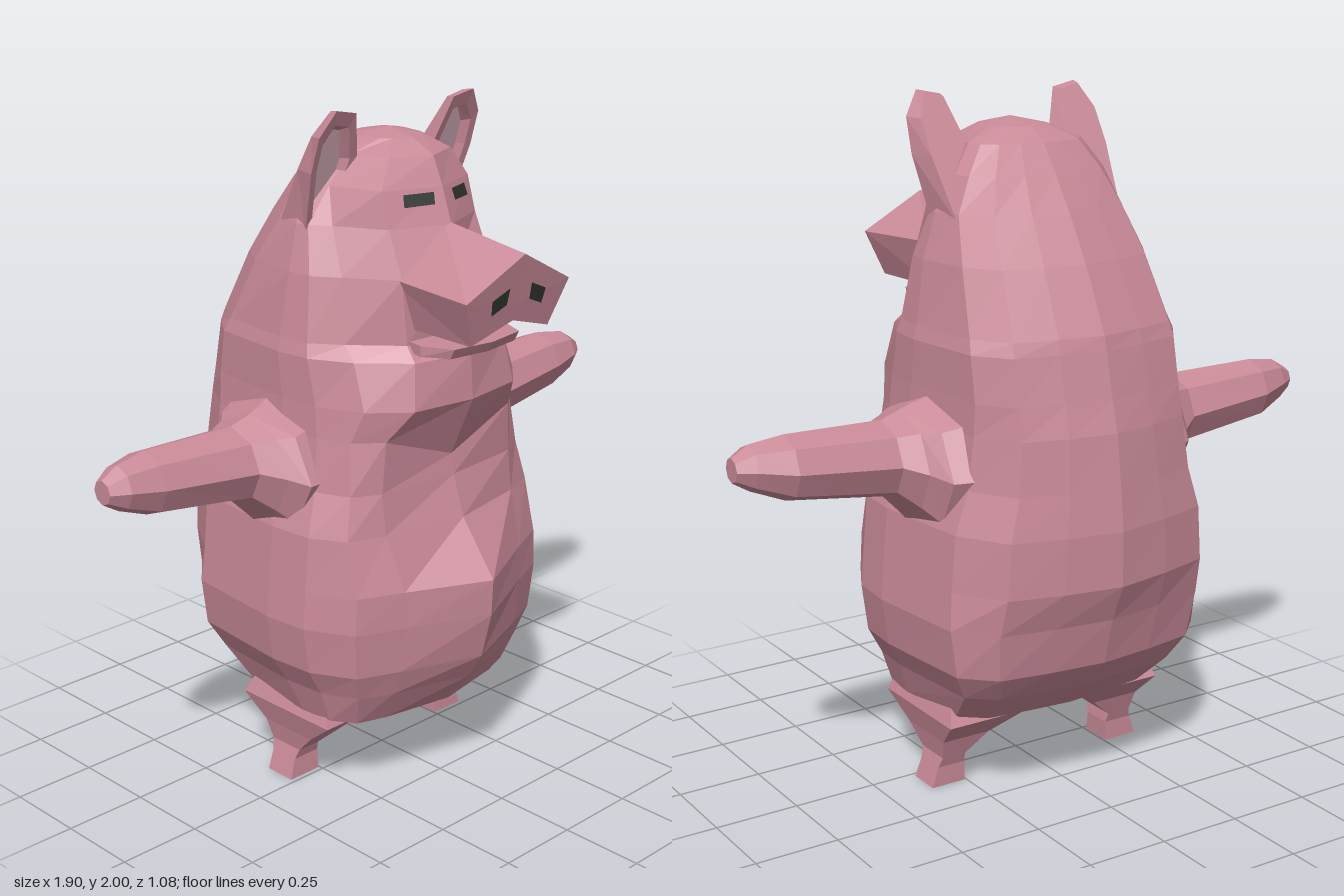
import * as THREE from 'three';

const skin = new THREE.MeshStandardMaterial({ color: 0xc98a98, flatShading: true });
const innerSkin = new THREE.MeshStandardMaterial({ color: 0xd8b0bc, flatShading: true });
const dark = new THREE.MeshStandardMaterial({ color: 0x30352f, side: THREE.DoubleSide });

const V = (x, y, z) => new THREE.Vector3(x, y, z);
const lerp = THREE.MathUtils.lerp;

// Skin closed rings (counter-clockwise seen from the last ring) and cap both ends.
function loft(name, rings, { side = 1, material = skin, tip = null } = {}) {
  if (side < 0) rings = rings.map(r => r.map(p => V(-p.x, p.y, p.z)).reverse());
  const pos = [];
  const tri = (...pts) => pts.forEach(p => pos.push(p.x, p.y, p.z));
  const centre = r => r.reduce((s, p) => s.add(p), V(0, 0, 0)).divideScalar(r.length);
  const n = rings[0].length, last = rings[rings.length - 1];
  const c0 = centre(rings[0]), c1 = tip || centre(last);
  for (let j = 0; j < n; j++) {
    const k = (j + 1) % n;
    tri(c0, rings[0][k], rings[0][j]);
    for (let i = 0; i < rings.length - 1; i++) {
      const [a, b, c, d] = [rings[i][j], rings[i][k], rings[i + 1][k], rings[i + 1][j]];
      tri(a, b, c);
      tri(a, c, d);
    }
    tri(c1, last[j], last[k]);
  }
  const geo = new THREE.BufferGeometry();
  geo.setAttribute('position', new THREE.Float32BufferAttribute(pos, 3));
  geo.computeVertexNormals();
  const mesh = new THREE.Mesh(geo, material);
  mesh.name = name;
  return mesh;
}

// Complete a half outline running from the front centre to the back centre.
const mirrorRing = half =>
  [...half, ...half.slice(1, -1).reverse().map(p => V(-p.x, p.y, p.z))];

// Body and head: height, half width, front z, back z, front corner x and z,
// side z's, cheek hollow, drop of the front centre
function bodyRing([y, w, zf, zb, cx, cz, s1, s2, hollow = 0.3, drop = 0]) {
  return mirrorRing([
    V(0, y - drop, zf), V(cx, y, cz),
    V(lerp(cx, w, 0.62), y, lerp(cz, s1, hollow)),
    V(w * 0.975, y, s1), V(w, y, lerp(s1, s2, 0.3)), V(w * 0.93, y, s2),
    V(w * 0.73, y, lerp(s2, zb, 0.66)),
    V(w * 0.38, y, lerp(s2, zb, 0.86)), V(0, y, zb),
  ]);
}

function body() {
  const rows = [
    [0.222, 0.24, 0.20, -0.12, 0.12, 0.18, 0.12, -0.10],
    [0.25, 0.36, 0.28, -0.29, 0.22, 0.24, 0.14, -0.20],
    [0.35, 0.395, 0.36, -0.40, 0.24, 0.29, 0.14, -0.30],
    [0.43, 0.44, 0.41, -0.46, 0.24, 0.32, 0.14, -0.33],
    [0.57, 0.46, 0.445, -0.495, 0.24, 0.335, 0.14, -0.33],
    [0.68, 0.45, 0.45, -0.54, 0.24, 0.335, 0.14, -0.32],
    [0.84, 0.435, 0.33, -0.54, 0.26, 0.28, 0.14, -0.32],
    [0.96, 0.39, 0.29, -0.525, 0.26, 0.265, 0.12, -0.32],
    [1.11, 0.37, 0.28, -0.505, 0.25, 0.27, 0.11, -0.32, 0.4, 0.09],
    [1.20, 0.365, 0.36, -0.48, 0.20, 0.33, 0.10, -0.32, 0.4],
    [1.33, 0.365, 0.35, -0.45, 0.18, 0.31, 0.07, -0.30, 0.5],
    [1.37, 0.355, 0.28, -0.44, 0.17, 0.27, 0.06, -0.28, 0.6],
    [1.55, 0.325, 0.28, -0.35, 0.175, 0.255, 0.04, -0.20, 0.65],
    [1.68, 0.29, 0.27, -0.27, 0.17, 0.20, 0.00, -0.13, 0.72],
    [1.78, 0.24, 0.235, -0.20, 0.17, 0.17, -0.04, -0.11, 0.75],
    [1.86, 0.18, 0.20, -0.14, 0.12, 0.15, -0.02, -0.08, 0.7],
    [1.90, 0.09, 0.12, -0.08, 0.06, 0.10, 0.01, -0.04],
  ];
  return loft('bodyAndHead', rows.map(bodyRing), { tip: V(0, 1.92, 0.03) });
}

// Arm with its broad shoulder: x, y range, z range
function arm(side) {
  const rows = [
    [0.30, 0.78, 1.20, -0.36, 0.14],
    [0.40, 0.80, 1.165, -0.31, 0.13],
    [0.44, 0.85, 1.15, -0.25, 0.08],
    [0.50, 0.91, 1.13, -0.21, 0.03],
    [0.80, 0.95, 1.135, -0.19, 0.00],
    [0.90, 0.99, 1.12, -0.15, -0.02],
    [0.95, 1.02, 1.09, -0.12, -0.05],
  ];
  const rings = rows.map(([x, y0, y1, z0, z1]) => Array.from({ length: 8 }, (_, i) => {
    const t = i * Math.PI / 4;
    return V(x, (y0 + y1) / 2 + (y1 - y0) / 2 * Math.cos(t),
      (z0 + z1) / 2 + (z1 - z0) / 2 * Math.sin(t));
  }));
  return loft(side > 0 ? 'leftArm' : 'rightArm', rings, { side });
}

// Leg with its boxy foot: y, x range, z range
function leg(side) {
  const rows = [
    [0.00, 0.255, 0.365, -0.115, -0.015],
    [0.06, 0.255, 0.345, -0.115, -0.02],
    [0.09, 0.26, 0.335, -0.125, -0.01],
    [0.15, 0.19, 0.345, -0.145, 0.05],
    [0.225, 0.11, 0.365, -0.22, 0.145],
    [0.28, 0.14, 0.345, -0.19, 0.12],
  ];
  const rings = rows.map(([y, x0, x1, z0, z1]) =>
    [V(x0, y, z1), V(x1, y, z1), V(x1, y, z0), V(x0, y, z0)]);
  return loft(side > 0 ? 'leftLeg' : 'rightLeg', rings, { side });
}

// Cupped ear leaning forward at the tip, thickening towards its root
function ear(side) {
  const outline = [[0.285, 1.65], [0.312, 1.83], [0.31, 1.93], [0.265, 2.0],
    [0.19, 1.985], [0.15, 1.86], [0.17, 1.74]];
  const ring = (sx, sy, dz, taper = 0) => outline.map(([x, y]) => {
    const py = 1.84 + (y - 1.84) * sy;
    return V(0.235 + (x - 0.235) * sx, py, 0.1 - (2 - py) * (0.31 + taper) + dz);
  });
  const group = new THREE.Group();
  group.name = side > 0 ? 'leftEar' : 'rightEar';
  group.add(
    loft('earShell', [ring(0.75, 0.97, -0.03, 0.27), ring(1, 1, 0),
      ring(0.72, 0.74, -0.003), ring(0.6, 0.66, -0.035)], { side }),
    loft('innerEar', [ring(0.6, 0.66, -0.032)], { side, material: innerSkin }));
  return group;
}

// Snout: a five-cornered prism with a notched underside
function snout() {
  const ring = (top, mid, low, bottom) => mirrorRing([bottom, low, mid, top]);
  return loft('snout', [
    ring(V(0, 1.69, 0.24), V(0.175, 1.55, 0.2), V(0.14, 1.41, 0.22), V(0, 1.45, 0.24)),
    ring(V(0, 1.645, 0.54), V(0.205, 1.54, 0.52), V(0.155, 1.41, 0.49), V(0, 1.455, 0.50)),
  ]);
}

// Lower lip: a thin shelf under the snout
function lip() {
  const ring = (y, s) => mirrorRing(
    [V(0, y, 0.43 * s), V(0.13, y, 0.41 * s), V(0.17, y, 0.32), V(0.15, y, 0.22), V(0, y, 0.22)]);
  return loft('lowerLip', [ring(1.35, 0.96), ring(1.38, 1)]);
}

// Flat dark patch whose depth follows the surface beneath
function patch(name, corners, depth, side) {
  const pts = corners.map(([x, y]) => V(x * side, y, depth(x, y)));
  const geo = new THREE.BufferGeometry().setFromPoints(pts);
  geo.setIndex(side > 0 ? [0, 1, 2, 0, 2, 3] : [0, 2, 1, 0, 3, 2]);
  geo.computeVertexNormals();
  const mesh = new THREE.Mesh(geo, dark);
  mesh.name = name;
  return mesh;
}

export function createModel() {
  const model = new THREE.Group();
  model.name = 'standingPig';
  model.add(body(), snout(), lip());
  for (const side of [1, -1]) {
    const label = side > 0 ? 'left' : 'right';
    model.add(arm(side), leg(side), ear(side));
    model.add(patch(label + 'Eye',
      [[0.04, 1.738], [0.125, 1.735], [0.12, 1.768], [0.035, 1.77]],
      (x, y) => 0.282 - 0.35 * (y - 1.68) - 0.4 * x, side));
    model.add(patch(label + 'Nostril',
      [[0.045, 1.51], [0.1, 1.487], [0.107, 1.53], [0.043, 1.557]],
      (x, y) => 0.506 + 0.21 * (y - 1.455), side));
  }
  return model;
}
